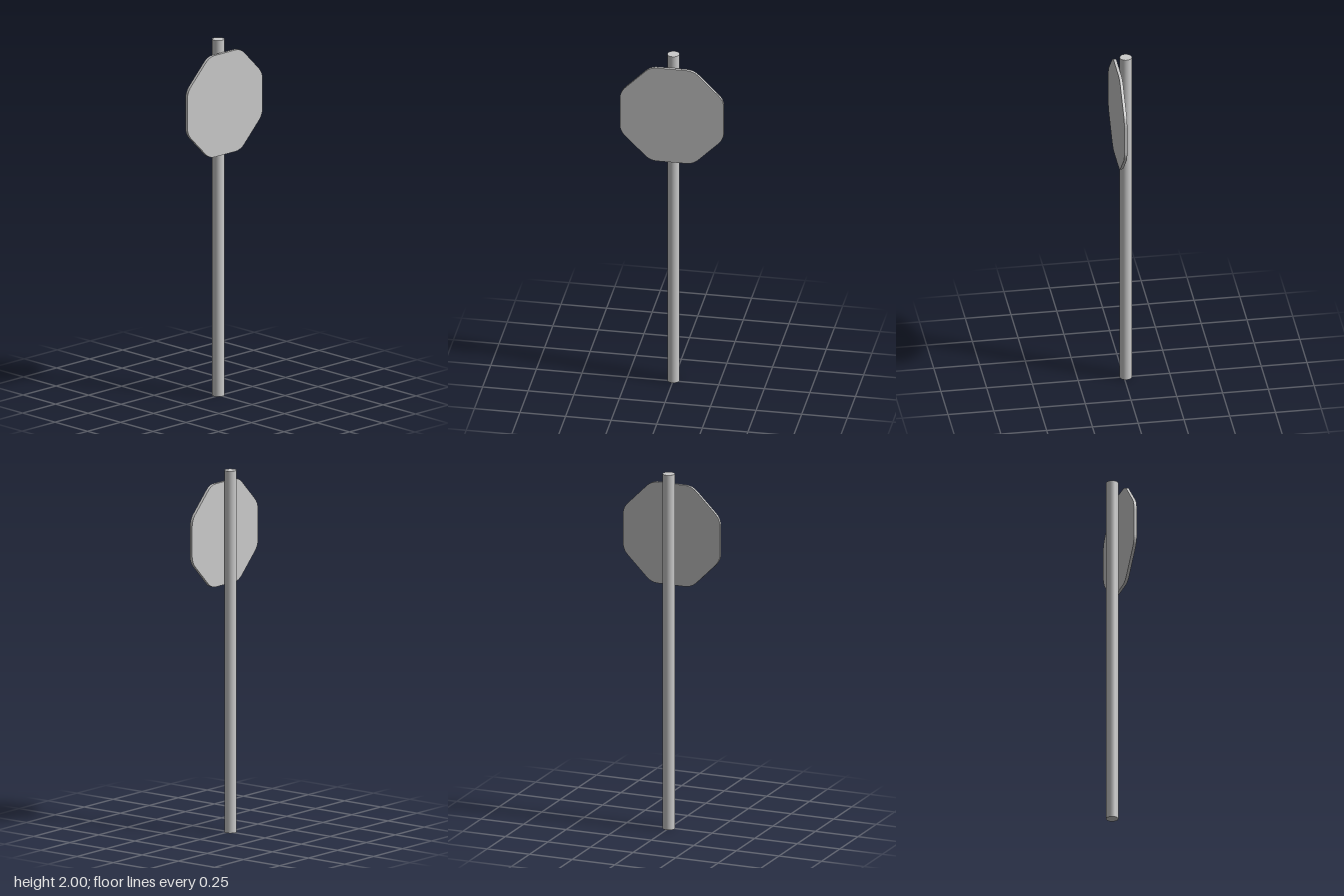
import * as THREE from 'three';

// Regular octagon with rounded corners; `apothem` is centre to flat side
function roundedOctagon(apothem, cut) {
  const radius = apothem / Math.cos(Math.PI / 8);
  const corners = Array.from({ length: 8 }, (_, i) => {
    const a = Math.PI / 8 + (i * Math.PI) / 4;
    return new THREE.Vector2(Math.cos(a), Math.sin(a)).multiplyScalar(radius);
  });
  const toward = (from, to) => to.clone().sub(from).setLength(cut).add(from);

  const shape = new THREE.Shape();
  corners.forEach((corner, i) => {
    const start = toward(corner, corners[(i + 7) % 8]);
    const end = toward(corner, corners[(i + 1) % 8]);
    if (i === 0) shape.moveTo(start.x, start.y);
    else shape.lineTo(start.x, start.y);
    shape.quadraticCurveTo(corner.x, corner.y, end.x, end.y);
  });
  shape.closePath();
  return shape;
}

export function createModel() {
  const model = new THREE.Group();
  model.name = 'roadSign';
  const material = new THREE.MeshStandardMaterial({ color: 0xcccccc });

  // Round post
  const post = new THREE.Mesh(new THREE.CylinderGeometry(0.033, 0.033, 2, 32), material);
  post.name = 'post';
  post.position.set(-0.01, 1, 0);
  model.add(post);

  // Thin octagonal plate facing +x, just clear of the post
  const plateGeometry = new THREE.ExtrudeGeometry(roundedOctagon(0.285, 0.04), {
    depth: 0.016,
    bevelEnabled: false,
    curveSegments: 6,
  });
  plateGeometry.rotateY(Math.PI / 2);
  const plate = new THREE.Mesh(plateGeometry, material);
  plate.name = 'signPlate';
  plate.position.set(0.026, 1.648, 0);
  model.add(plate);

  return model;
}
